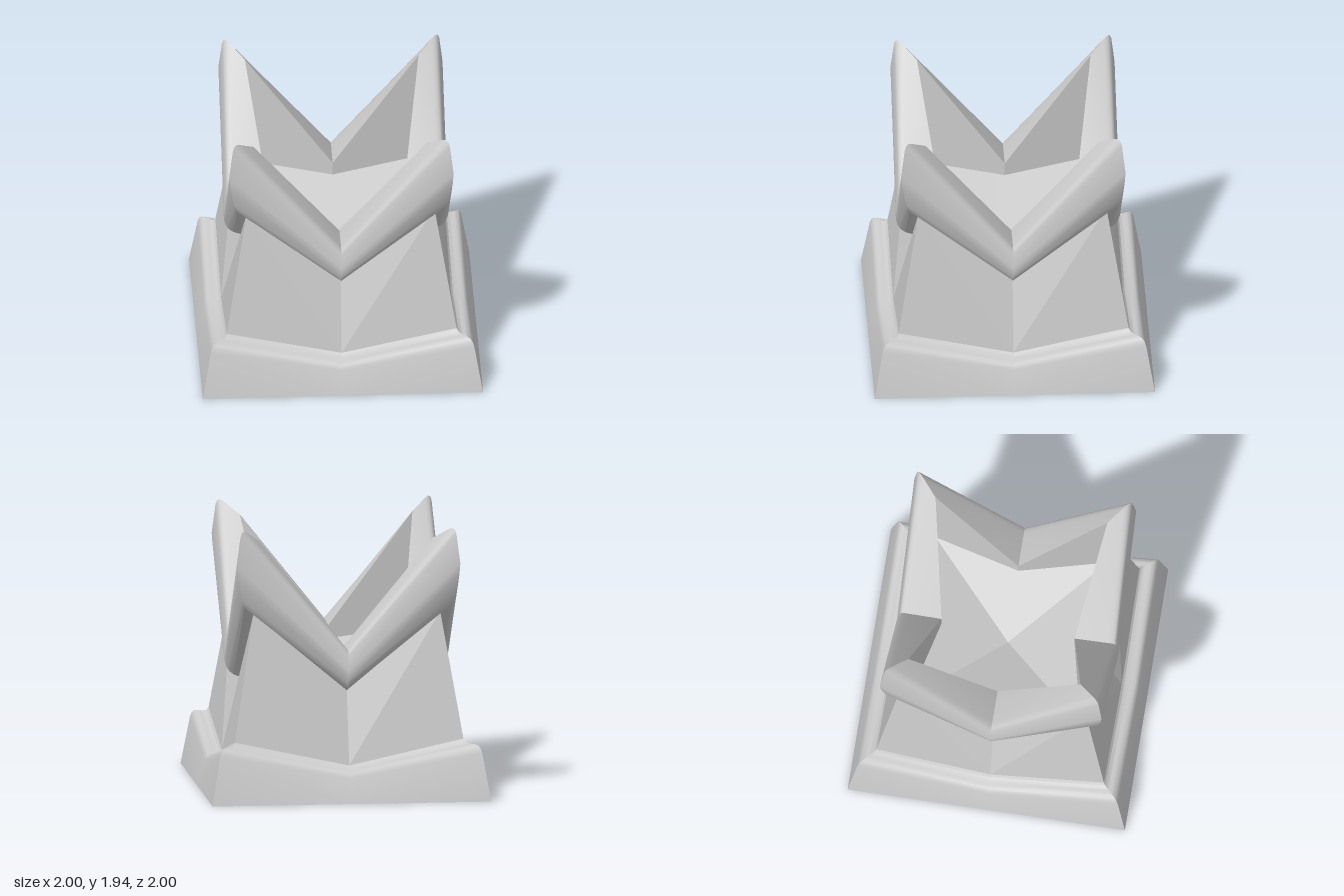
import * as THREE from 'three';
import { toCreasedNormals } from 'three/addons/utils/BufferGeometryUtils.js';

// A ring is [corner reach, corner height, side-middle reach, side-middle height];
// it stands for eight points: four corners and four side middles.
function ringPoints([c, yc, m, ym]) {
  const points = [];
  for (let k = 0; k < 8; k++) {
    const a = (k * Math.PI) / 4;
    const corner = k % 2 === 1;
    const r = corner ? c : m;
    points.push(new THREE.Vector3(
      Math.round(Math.cos(a)) * r, corner ? yc : ym, Math.round(Math.sin(a)) * r));
  }
  return points;
}

// Skins a stack of rings, with diagonals mirrored about every side middle.
function skin(name, rings, material, crease = 0.6) {
  const loops = rings.map(ringPoints);
  const positions = [];
  const triangle = (a, b, c) => {
    const area = b.clone().sub(a).cross(c.clone().sub(a)).length();
    if (area > 1e-7) for (const p of [a, b, c]) positions.push(p.x, p.y, p.z);
  };
  for (let i = 0; i < loops.length - 1; i++) {
    for (let k = 0; k < 8; k++) {
      const n = (k + 1) % 8;
      const a = loops[i][k], b = loops[i][n], c = loops[i + 1][n], d = loops[i + 1][k];
      if (k % 2) {
        triangle(a, d, b);
        triangle(b, d, c);
      } else {
        triangle(a, d, c);
        triangle(a, c, b);
      }
    }
  }
  const geometry = new THREE.BufferGeometry();
  geometry.setAttribute('position', new THREE.Float32BufferAttribute(positions, 3));
  const mesh = new THREE.Mesh(toCreasedNormals(geometry, crease), material);
  mesh.name = name;
  return mesh;
}

export function createModel() {
  const group = new THREE.Group();
  group.name = 'crownedTower';
  const grey = new THREE.MeshStandardMaterial({ color: 0xcccccc });

  // Square foot with a rounded ledge that dips at each side middle
  group.add(skin('base', [
    [0, 0, 0, 0],
    [1, 0, 1, 0],
    [0.94, 0.345, 0.94, 0.175],
    [0.93, 0.375, 0.93, 0.2],
    [0.915, 0.393, 0.915, 0.215],
    [0.89, 0.4, 0.89, 0.222],
    [0.86, 0.4, 0.86, 0.225],
    [0.835, 0.407, 0.835, 0.232],
    [0.82, 0.43, 0.82, 0.25],
  ], grey));

  // Tapered walls
  group.add(skin('body', [
    [0.82, 0.43, 0.82, 0.25],
    [0.67, 1.33, 0.67, 0.77],
  ], grey, 0.05));

  // Overhanging band rising to four points
  group.add(skin('crownBand', [
    [0.67, 1.33, 0.67, 0.77],
    [0.72, 1.375, 0.73, 0.79],
    [0.745, 1.39, 0.765, 0.815],
    [0.765, 1.45, 0.785, 0.845],
    [0.795, 1.62, 0.8, 0.89],
    [0.8, 1.69, 0.8, 0.93],
    [0.775, 1.9, 0.78, 1.04],
    [0.765, 1.93, 0.77, 1.06],
    [0.745, 1.94, 0.75, 1.07],
    [0.72, 1.925, 0.72, 1.07],
    [0.62, 1.85, 0.48, 1.06],
  ], grey));

  // Upright inner walls and shallow sunken floor
  group.add(skin('innerWalls', [
    [0.62, 1.85, 0.48, 1.06],
    [0.62, 1.02, 0.48, 0.965],
  ], grey, 0.1));
  group.add(skin('floor', [
    [0.62, 1.02, 0.48, 0.965],
    [0, 0.78, 0, 0.78],
  ], grey, 0.1));

  return group;
}
